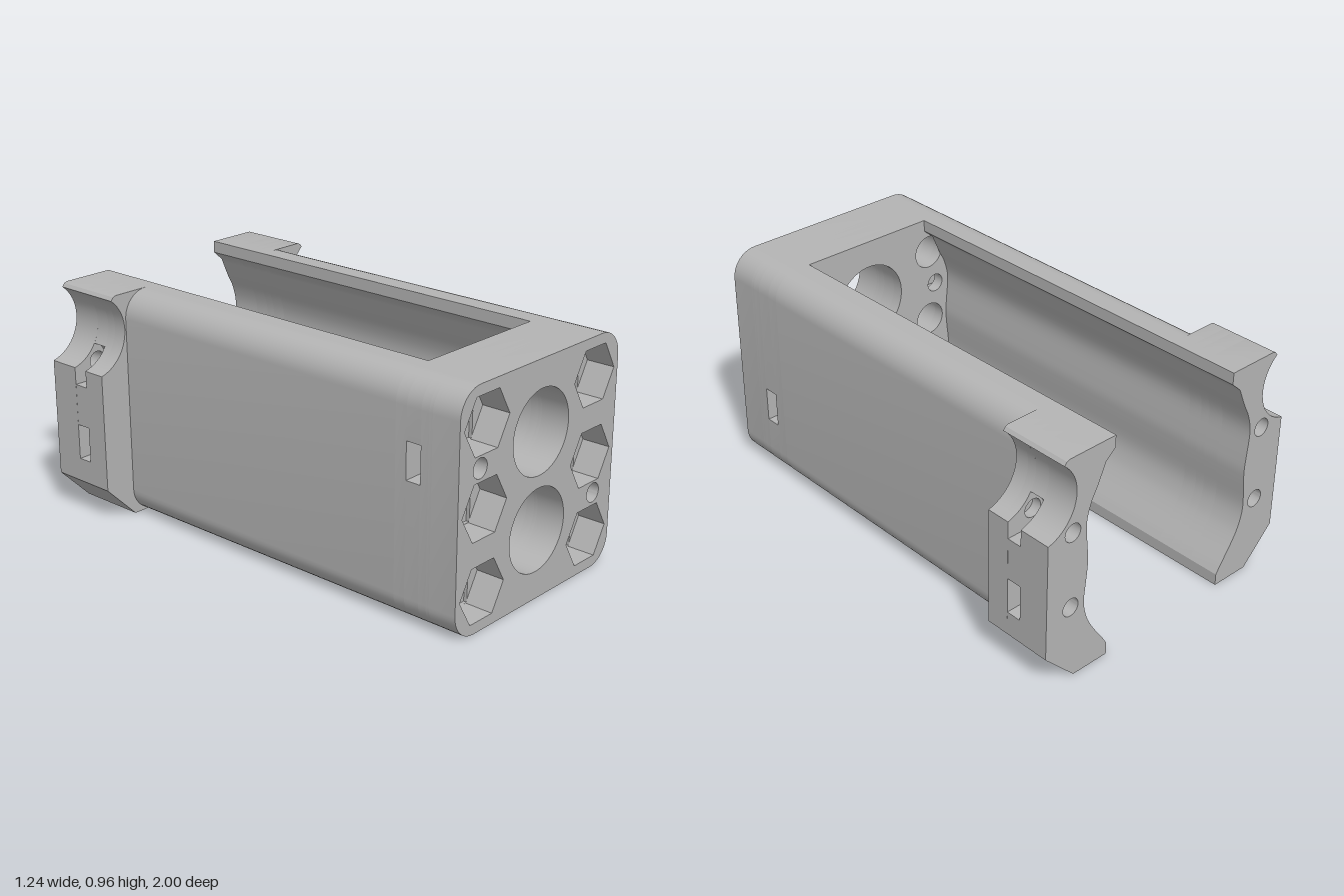
import * as THREE from 'three';
import { toCreasedNormals } from 'three/addons/utils/BufferGeometryUtils.js';

const grey = new THREE.MeshStandardMaterial({ color: 0xb4b4b4 });
grey.name = 'grey plastic';

const V = (x, y) => new THREE.Vector2(x, y);
const mirror = (pts, s) => pts.map(p => V(p.x * s, p.y));

// points along an arc, angles in degrees
function arc(cx, cy, r, a0, a1, n) {
  const pts = [];
  for (let i = 0; i <= n; i++) {
    const a = THREE.MathUtils.degToRad(a0 + (a1 - a0) * i / n);
    pts.push(V(cx + r * Math.cos(a), cy + r * Math.sin(a)));
  }
  return pts;
}
const circle = (x, y, r, n = 40) => arc(x, y, r, 0, 360, n).slice(0, -1);
const rect = (x, y, w, h) => [V(x - w, y - h), V(x + w, y - h), V(x + w, y + h), V(x - w, y + h)];

// a slice of the part, extruded from z0 to z1
function slice(name, outline, holes, z0, z1) {
  const shape = new THREE.Shape(outline);
  holes.forEach(h => shape.holes.push(new THREE.Path(h)));
  const geo = new THREE.ExtrudeGeometry(shape, { depth: z1 - z0, bevelEnabled: false });
  geo.translate(0, 0, z0);
  const mesh = new THREE.Mesh(toCreasedNormals(geo, 0.45), grey);
  mesh.name = name;
  return mesh;
}

// nut slot cut from the right edge inward, ending in a point (listed top to bottom)
const slot = (edgeTop, edgeBottom, y, tip) => [
  V(edgeTop, y + 0.075), V(tip + 0.04, y + 0.075), V(tip, y), V(tip + 0.04, y - 0.075), V(edgeBottom, y - 0.075)
];

const W = 0.48, H = 0.96, R = 0.11;

// right half of the rounded body outline, top to bottom
function halfOutline(slotY) {
  return [
    ...arc(W - R, H - R, R, 90, 0, 10),
    ...(slotY ? slot(W, W, slotY, 0.275) : []),
    ...arc(W - R, R, R, 0, -90, 10)
  ];
}

// inner wall surface, bottom to top: two shallow bulges side by side
function innerProfile() {
  const bulge = new THREE.SplineCurve([
    V(0.325, 0.083), V(0.381, 0.165), V(0.415, 0.23), V(0.433, 0.31), V(0.424, 0.42), V(0.42, 0.48),
    V(0.424, 0.54), V(0.433, 0.65), V(0.415, 0.73), V(0.385, 0.79), V(0.35, 0.87)
  ]).getPoints(40);
  return [V(0.305, 0), V(0.305, 0.05), ...bulge, V(0.305, 0.91), V(0.305, H)];
}

// outer flange edge, top to bottom, with a round scallop
function flangeOutline(slotted) {
  const cx = 0.657, cy = 0.808, r = 0.17;
  const top = [V(0.527, H), V(0.54, 0.955), ...arc(cx, cy, r, 128.5, slotted ? 211.2 : 257, 20)];
  const slots = slotted
    ? [...slot(0.511, 0.618, 0.645, 0.445).slice(1), ...slot(0.618, 0.618, 0.32, 0.445)]
    : [];
  return [...top, ...slots, V(0.618, 0.145), V(0.475, 0)];
}

export function createModel() {
  const model = new THREE.Group();
  model.name = 'twinCellHousing';

  // front block, in slices: hexagon pockets, bridge step, bolt holes and nut slots
  const block = new THREE.Group();
  block.name = 'frontBlock';
  const bolts = [];
  for (const s of [-1, 1]) for (const y of [0.155, 0.48, 0.805]) bolts.push([s * 0.327, y]);
  const cells = [circle(0, 0.675, 0.17, 64), circle(0, 0.285, 0.17, 64)];
  const pins = [circle(-0.36, 0.645, 0.04, 24), circle(0.36, 0.32, 0.04, 24)];
  const boltHoles = bolts.map(([x, y]) => circle(x, y, 0.072));
  const plain = [...halfOutline(), ...mirror(halfOutline(), -1).reverse()];
  const notched = [...halfOutline(0.32), ...mirror(halfOutline(0.645), -1).reverse()];
  const hexes = bolts.map(([x, y]) => circle(x, y, 0.129, 6));
  const steps = bolts.map(([x, y]) => rect(x, y, 0.072, 0.1115));
  block.add(
    slice('nutPocketPlate', plain, [...cells, ...pins, ...hexes], 0.88, 1),
    slice('bridgeStep', plain, [...cells, ...pins, ...steps], 0.865, 0.88),
    slice('boltPlate', plain, [...cells, ...pins, ...boltHoles], 0.83, 0.865),
    slice('slottedPlate', notched, [...cells, ...boltHoles], 0.765, 0.83),
    slice('innerPlate', plain, [...cells, ...pins, ...boltHoles], 0.715, 0.765)
  );
  model.add(block);

  // long side walls with their rear flanges
  for (const s of [1, -1]) {
    const side = new THREE.Group();
    side.name = s > 0 ? 'leftSide' : 'rightSide';
    const inner = innerProfile();
    const wall = mirror([...inner, ...halfOutline()], s);
    const flange = mirror([...inner, ...flangeOutline(false)], s);
    const slotted = mirror([...inner, ...flangeOutline(true)], s);
    const screws = [0.32, 0.645].map(y => circle(s * 0.5, y, 0.038, 24));
    side.add(
      slice('wall', wall, [], -0.7, 0.715),
      slice('flangeFront', flange, [], -0.76, -0.7),
      slice('flangeMiddle', flange, screws, -0.8, -0.76),
      slice('flangeNutSlots', slotted, [], -0.865, -0.8),
      slice('flangeBack', flange, screws, -1, -0.865)
    );
    model.add(side);
  }
  return model;
}
